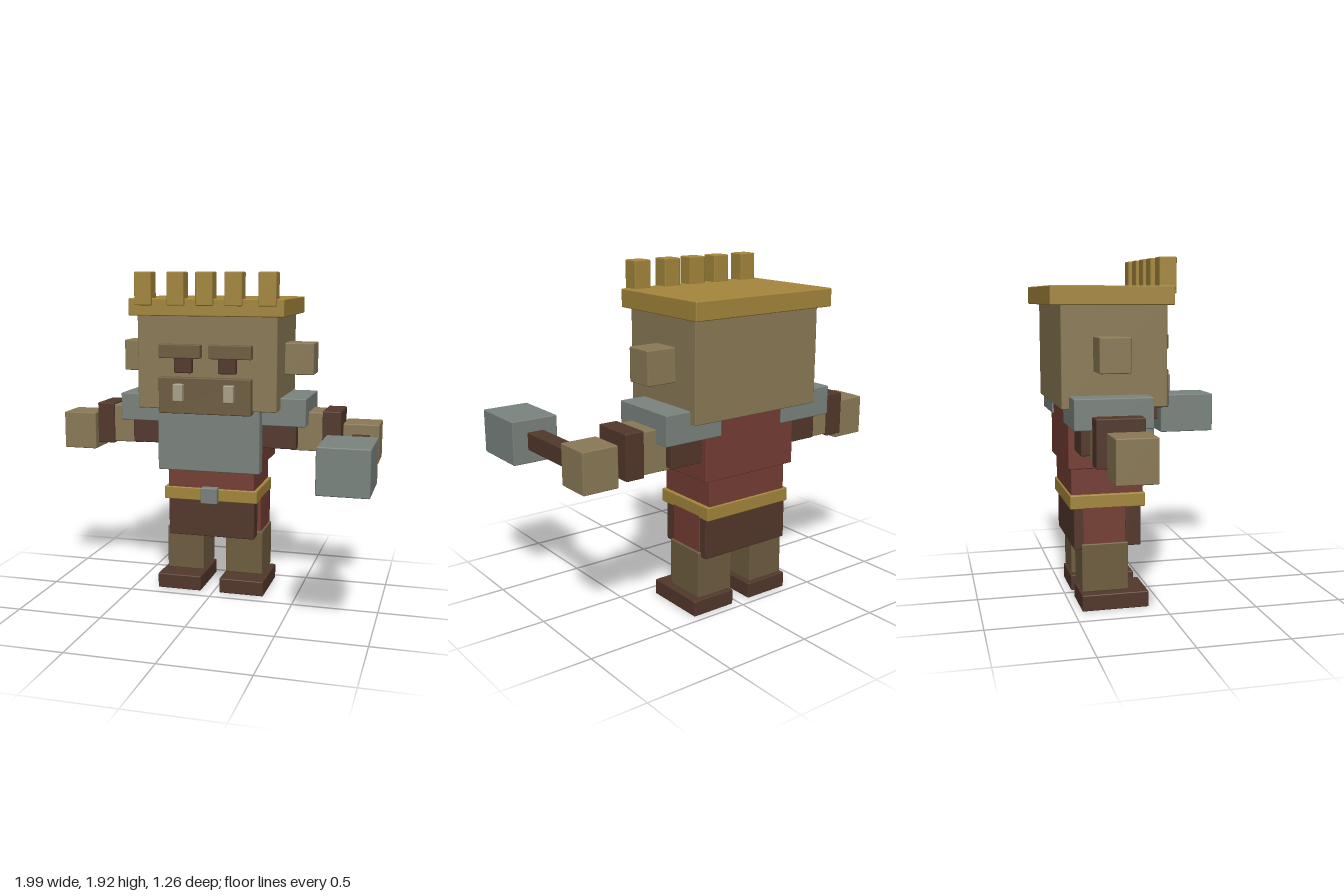
import * as THREE from 'three';
import { RoundedBoxGeometry } from 'three/addons/geometries/RoundedBoxGeometry.js';

const mat = (name, color) => {
  const m = new THREE.MeshStandardMaterial({ color });
  m.name = name;
  return m;
};

export function createModel() {
  const skin = mat('skin', 0x8b7a56);
  const darkSkin = mat('darkSkin', 0x6f5d40);
  const gold = mat('gold', 0xa5873c);
  const steel = mat('steel', 0x7b847f);
  const leather = mat('leather', 0x53382c);
  const cloth = mat('cloth', 0x753e34);
  const ivory = mat('ivory', 0xaaa287);

  const root = new THREE.Group();
  root.name = 'figure';
  const MID = -0.02; // the body's own centre line

  // Slightly bevelled block given by its extents along each axis
  const block = (name, material, [x0, x1], [y0, y1], [z0, z1]) => {
    const geo = new RoundedBoxGeometry(x1 - x0, y1 - y0, z1 - z0, 1, 0.006);
    const mesh = new THREE.Mesh(geo, material);
    mesh.name = name;
    mesh.position.set((x0 + x1) / 2, (y0 + y1) / 2, (z0 + z1) / 2);
    root.add(mesh);
  };
  // Mirrored pair, x measured outward from the centre line
  const pair = (name, material, [a, b], y, z) => {
    block('left' + name, material, [MID + a, MID + b], y, z);
    block('right' + name, material, [MID - b, MID - a], y, z);
  };

  // Head and face
  block('head', skin, [-0.435, 0.395], [1.13, 1.69], [-0.57, 0]);
  pair('Ear', skin, [0.39, 0.585], [1.325, 1.51], [-0.4, -0.235]);
  pair('Brow', darkSkin, [0.025, 0.275], [1.43, 1.51], [-0.03, 0.045]);
  pair('Eye', leather, [0.078, 0.183], [1.345, 1.44], [-0.03, 0.035]);
  block('muzzle', darkSkin, [-0.295, 0.255], [1.11, 1.32], [-0.03, 0.045]);
  pair('Tusk', ivory, [0.12, 0.18], [1.185, 1.285], [0.03, 0.08]);

  // Crown: flat slab with a row of prongs along the front
  block('crownBand', gold, [-0.48, 0.437], [1.67, 1.77], [-0.63, 0.03]);
  for (const x of [-0.385, -0.19, -0.02, 0.15, 0.345]) {
    block('crownProng', gold, [x - 0.051, x + 0.051], [1.73, 1.92], [-0.045, 0.05]);
  }

  // Torso and belt
  block('torso', cloth, [-0.325, 0.285], [0.79, 1.15], [-0.52, -0.115]);
  block('waist', cloth, [-0.285, 0.245], [0.6, 0.8], [-0.5, -0.1]);
  block('chestPlate', steel, [-0.33, 0.288], [0.755, 1.135], [-0.13, -0.045]);
  block('belt', gold, [-0.308, 0.265], [0.565, 0.642], [-0.51, -0.09]);
  block('buckle', steel, [-0.072, 0.03], [0.555, 0.652], [-0.11, -0.055]);

  // Loincloth
  block('hips', cloth, [-0.308, 0.267], [0.342, 0.58], [-0.44, -0.2]);
  block('frontApron', leather, [-0.285, 0.245], [0.34, 0.58], [-0.215, -0.11]);
  block('backApron', leather, [-0.305, 0.262], [0.34, 0.58], [-0.49, -0.427]);

  // Legs
  pair('Leg', darkSkin, [0.07, 0.3], [0.1, 0.37], [-0.45, -0.19]);
  pair('Foot', leather, [0.058, 0.33], [0, 0.09], [-0.455, -0.08]);

  // Arms
  pair('ShoulderPad', steel, [0.21, 0.565], [1.035, 1.2], [-0.53, -0.11]);
  pair('Sleeve', leather, [0.28, 0.503], [0.895, 1.12], [-0.485, -0.15]);
  pair('Forearm', skin, [0.46, 0.655], [0.88, 1.11], [-0.438, -0.21]);
  pair('Cuff', leather, [0.648, 0.757], [0.87, 1.12], [-0.453, -0.2]);
  pair('Hand', skin, [0.77, 0.978], [0.828, 1.055], [-0.403, -0.19]);

  // Hammer held in the left hand
  block('hammerHandle', leather, [0.805, 0.906], [0.895, 0.995], [-0.36, 0.3]);
  block('hammerHead', steel, [0.722, 0.996], [0.818, 1.067], [0.272, 0.63]);

  return root;
}
